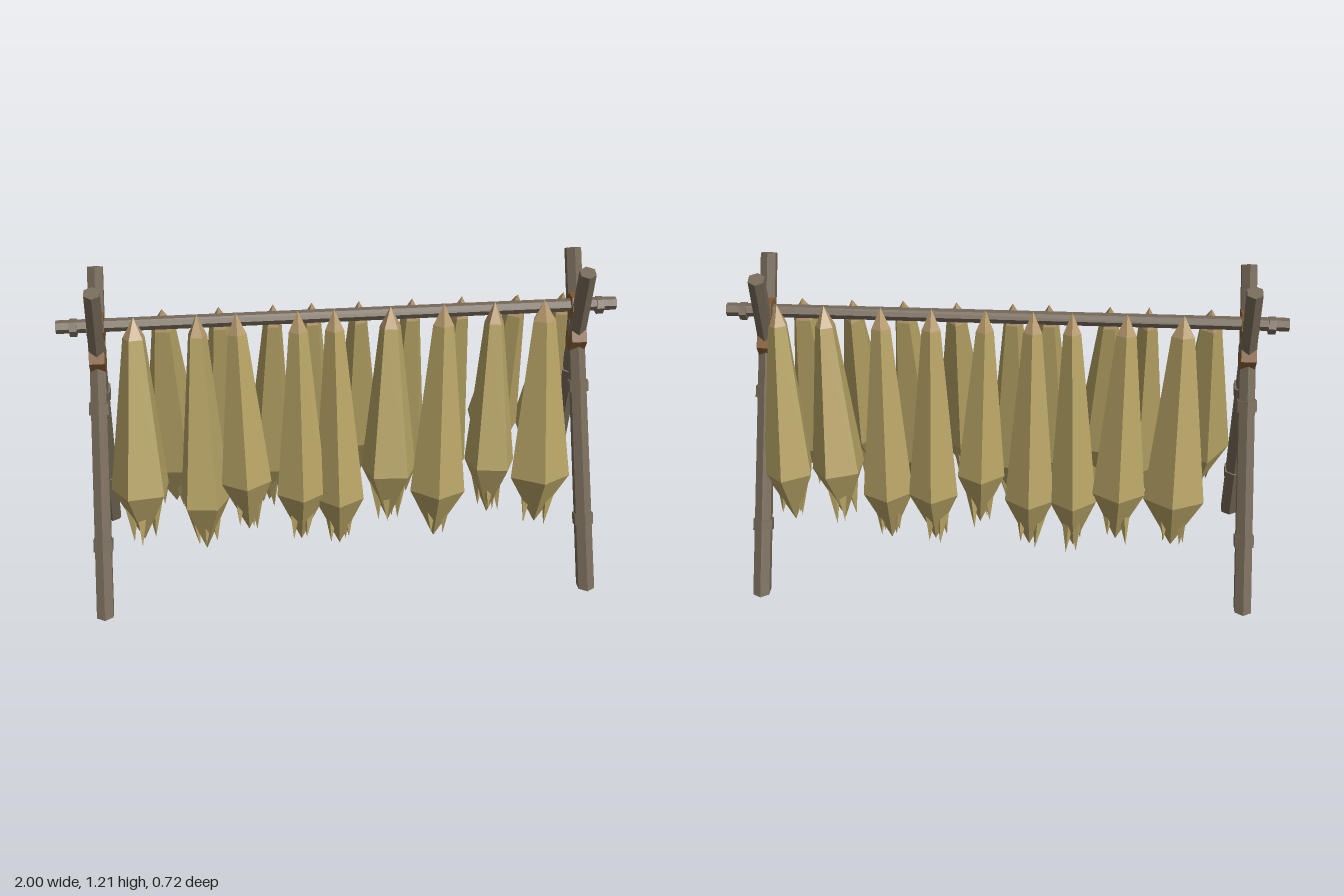
import * as THREE from 'three';

const mat = (name, color) => {
  const m = new THREE.MeshStandardMaterial({ color, flatShading: true });
  m.name = name;
  return m;
};

const UP = new THREE.Vector3(0, 1, 0);

export function createModel() {
  const wood = mat('weathered wood', 0x756958);
  const rope = mat('brown rope', 0x80582f);
  const straw = mat('dry straw', 0xb3a063);
  const tied = mat('tied straw tops', 0xb3966a);

  const root = new THREE.Group();
  root.name = 'dryingRack';

  const add = (parent, name, geo, material) => {
    const m = new THREE.Mesh(geo, material);
    m.name = name;
    parent.add(m);
    return m;
  };

  // Small seeded generator for natural variation
  let seed = 7;
  const rnd = (a, b) => {
    seed = (seed * 16807) % 2147483647;
    return a + (b - a) * (seed / 2147483647);
  };

  // Crossed poles: feet cut level with the ground, two node rings on each
  const pole = (sx, sz) => {
    const foot = new THREE.Vector3(sx * 0.9, 0, sz * 0.322);
    const top = new THREE.Vector3(sx * 0.855, 1.2, sz * -0.11);
    const dir = top.clone().sub(foot);
    const len = dir.length();
    dir.normalize();
    const q = new THREE.Quaternion().setFromUnitVectors(UP, dir);
    const geo = new THREE.CylinderGeometry(0.031, 0.035, len, 6);
    geo.translate(0, len / 2, 0).applyQuaternion(q).translate(foot.x, 0, foot.z);
    const p = geo.attributes.position;
    for (let i = 0; i < p.count; i++) {
      if (p.getY(i) > 0.2) continue;
      const t = p.getY(i) / dir.y;
      p.setXYZ(i, p.getX(i) - dir.x * t, 0, p.getZ(i) - dir.z * t);
    }
    const g = new THREE.Group();
    g.name = 'pole';
    add(g, 'poleShaft', geo, wood);
    for (const y of [0.25, 0.725]) {
      const ring = add(g, 'poleNode', new THREE.CylinderGeometry(0.04, 0.04, 0.042, 6), wood);
      ring.position.copy(foot).addScaledVector(dir, y / dir.y);
      ring.quaternion.copy(q);
    }
    root.add(g);
  };
  for (const sx of [-1, 1]) for (const sz of [-1, 1]) pole(sx, sz);

  // Cylinder lying along x
  const bar = (name, r, len, x, y, material) => {
    const m = add(root, name, new THREE.CylinderGeometry(r, r, len, 6).rotateZ(Math.PI / 2), material);
    m.position.set(x, y, 0);
  };
  bar('crossBeam', 0.024, 2, 0, 1.025, wood);
  for (const s of [-1, 1]) {
    bar('beamNode', 0.032, 0.026, s * 0.94, 1.02, wood);
    bar('beamLashing', 0.05, 0.06, s * 0.862, 1.02, rope);
    bar('poleLashing', 0.056, 0.055, s * 0.866, 0.9, rope);
  }

  // Hanging bundle: tapered body, tied top, loose stalk ends
  const bundle = (side, [x, bx, rimY, width, phi = 0]) => {
    const top = new THREE.Vector3(x, 0.99, side * 0.042);
    const rim = new THREE.Vector3(bx, rimY, side * 0.152);
    const dir = top.clone().sub(rim);
    const len = dir.length();
    const g = new THREE.Group();
    g.name = 'strawBundle';
    g.position.copy(rim);
    g.quaternion.setFromUnitVectors(UP, dir.normalize());
    const start = phi + (side > 0 ? 0 : Math.PI);
    const sx = width / 0.228;
    const shape = (pts) => new THREE.LatheGeometry(pts.map(([r, y]) => new THREE.Vector2(r, y)), 5, start).scale(sx, 1, 1);

    const body = shape([[0, -0.21], [0.12, 0], [0.045, len]]);
    const p = body.attributes.position;
    for (let i = 0; i < p.count; i++) if (p.getY(i) < -0.1) p.setZ(i, -side * 0.03);
    add(g, 'bundleBody', body, straw);
    add(g, 'bundleTop', shape([[0.045, len], [0, len + 0.075]]), tied);

    for (let i = 0; i < 4; i++) {
      const a = start + i * 1.57 + rnd(0.3, 1.2);
      const l = rnd(0.14, 0.19);
      const stalk = add(g, 'looseStalk', new THREE.ConeGeometry(0.034, l, 4).rotateX(Math.PI), straw);
      stalk.position.set(Math.sin(a) * 0.045 * sx, -0.03 - l / 2, Math.cos(a) * 0.04 - side * 0.02);
      stalk.rotation.set(-Math.cos(a) * 0.12, rnd(0, 3), Math.sin(a) * 0.12);
    }
    root.add(g);
  };

  // Each row: x at beam, x at rim, rim height, width, turn
  const front = [
    [-0.73, -0.74, 0.43, 0.21, -0.42], [-0.51, -0.515, 0.37, 0.18, 0.5], [-0.37, -0.36, 0.45, 0.18],
    [-0.155, -0.16, 0.39, 0.18], [-0.025, -0.02, 0.36, 0.18, -0.1], [0.175, 0.165, 0.46, 0.2, 0.55],
    [0.365, 0.345, 0.37, 0.2, -0.1], [0.55, 0.54, 0.47, 0.18, 0.5], [0.73, 0.725, 0.41, 0.22],
  ];
  const back = [
    [-0.63, -0.63, 0.38, 0.22, -0.1], [-0.43, -0.425, 0.4, 0.19], [-0.24, -0.26, 0.36, 0.17],
    [-0.1, -0.1, 0.36, 0.18], [0.07, 0.08, 0.46, 0.17, 0.1], [0.26, 0.255, 0.37, 0.18],
    [0.44, 0.425, 0.37, 0.18, 0.1], [0.64, 0.605, 0.46, 0.19, -0.3], [0.81, 0.79, 0.44, 0.18, -0.1],
  ];
  front.forEach((b) => bundle(1, b));
  back.forEach((b) => bundle(-1, b));

  return root;
}
